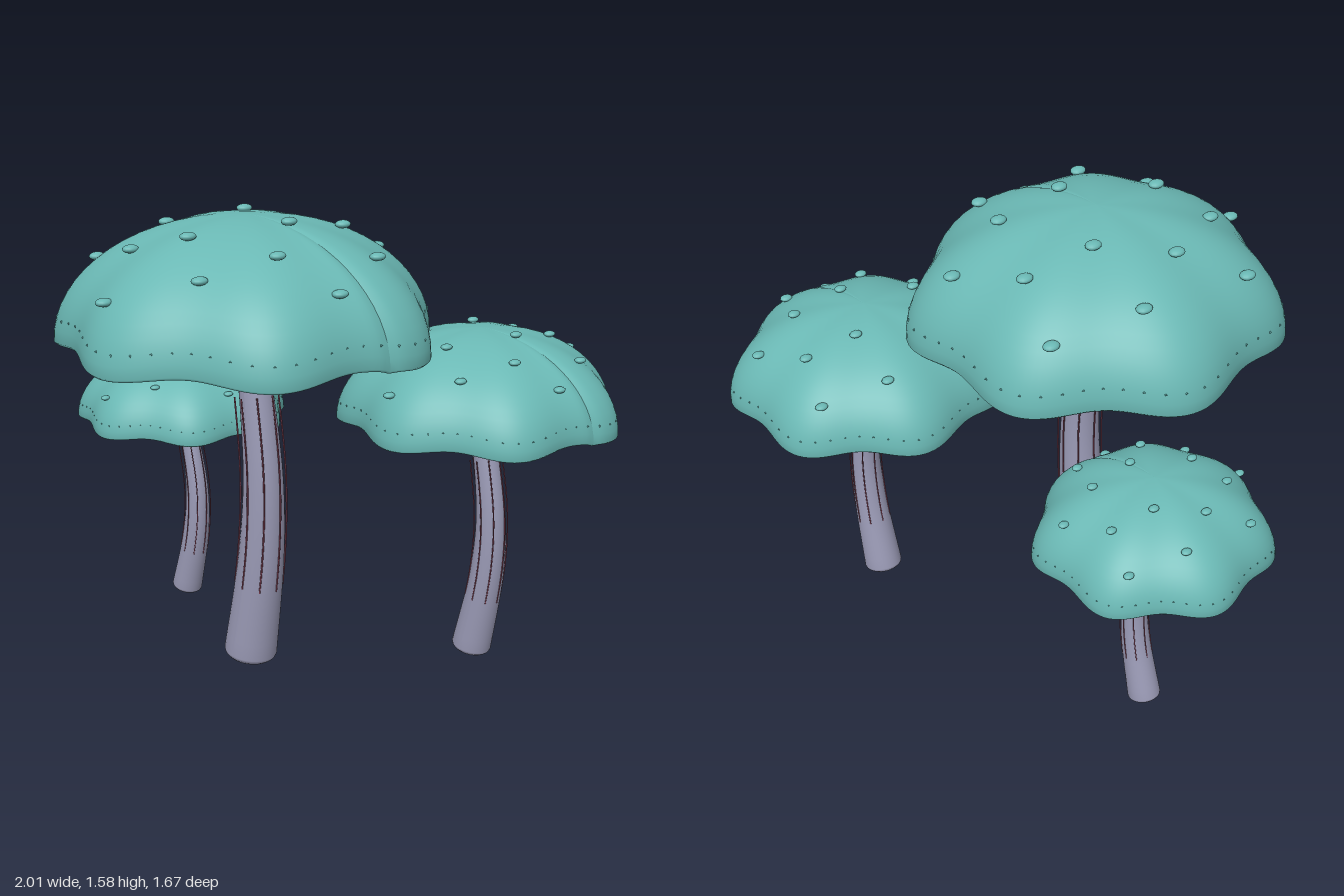
import * as THREE from 'three';

const mat = (name, color) => Object.assign(new THREE.MeshStandardMaterial({ color }), { name });

const CAP_R = 0.615, RIM_Y = 1.16, CAP_H = 0.41;
const INNER_R = 0.588, INNER_H = 0.31;
const V = (x, y, z) => new THREE.Vector3(x, y, z);
const P = (x, y) => new THREE.Vector2(x, y);

// Seven soft lobes around the cap: +1 on a bulge, -1 in a valley
const lobe = (x, z) => -Math.sin(7 * Math.atan2(z, x));

// Moves a point of a round cap onto the lobed, wavy cap with its one narrow fold on +x
function wave(p) {
  const r = Math.hypot(p.x, p.z), l = r > 1e-5 ? lobe(p.x, p.z) : 0;
  const fold = Math.exp(-Math.pow(Math.atan2(p.z, p.x) / 0.035, 2));
  const k = 1 + 0.046 * l - 0.016 * fold;
  return p.set(p.x * k, p.y - 0.012 * l * Math.pow(r / CAP_R, 4) - 0.008 * fold * r / CAP_R, p.z * k);
}

function mapVertices(geo, rule) {
  const pos = geo.attributes.position, p = V(0, 0, 0);
  for (let i = 0; i < pos.count; i++) {
    rule(p.fromBufferAttribute(pos, i));
    pos.setXYZ(i, p.x, p.y, p.z);
  }
  geo.computeVertexNormals();
  return geo;
}

// Domed shell: hollow underside, thin lip, outer dome
function capGeometry() {
  const pts = [], n = 16;
  for (let i = 0; i <= n; i++) {
    const a = (i / n) * Math.PI / 2;
    pts.push(P(INNER_R * Math.sin(a), RIM_Y + 0.003 + INNER_H * Math.cos(a)));
  }
  pts.push(P(0.594, 1.153), P(0.607, 1.152));
  for (let i = n; i >= 0; i--) {
    const a = (i / n) * Math.PI / 2;
    pts.push(P(CAP_R * Math.sin(a), RIM_Y + CAP_H * Math.cos(a)));
  }
  return mapVertices(new THREE.LatheGeometry(pts, 168).rotateY(Math.PI / 2), wave);
}

// Centre line of a stem that bows sideways by b
const spineCurve = b => new THREE.CatmullRomCurve3([
  V(0, 0.01, 0), V(0.85 * b, 0.41, 0), V(b, 0.67, 0), V(0.7 * b, 0.9, 0), V(0.005, 1.18, 0),
]);

// Point beside the spine: a is across the bend, b is along z
function besideSpine(spine, t, a, b) {
  const c = spine.getPointAt(t), d = spine.getTangentAt(t);
  return V(c.x + a * d.y, c.y - a * d.x, b);
}

// Tapering stem with a rounded foot; the profile height is the position along the spine
function stemGeometry(spine) {
  const pts = [];
  for (let i = 0; i <= 5; i++) {
    const a = (i / 5) * Math.PI / 2;
    pts.push(P(0.092 * Math.pow(Math.sin(a), 0.7), 0.028 * (1 - Math.cos(a))));
  }
  for (let i = 1; i <= 20; i++) pts.push(P(0.092 - 0.042 * i / 20, 0.028 + 0.972 * i / 20));
  pts.push(P(0, 1));
  return mapVertices(new THREE.LatheGeometry(pts, 32),
    p => p.copy(besideSpine(spine, Math.min(p.y, 1), p.x, p.z)));
}

// Thin fibre that leaves the stem surface as the stem narrows
function fibreGeometry(spine, angle) {
  const pts = [];
  for (let i = 0; i <= 6; i++) {
    const r = 0.082 - 0.009 * i / 6;
    pts.push(besideSpine(spine, 0.25 + 0.57 * i / 6, r * Math.cos(angle), r * Math.sin(angle)));
  }
  return new THREE.TubeGeometry(new THREE.CatmullRomCurve3(pts), 12, 0.003, 5);
}

// Radial rib under the cap whose tip just pierces the dome near the rim
function gillGeometry(angle) {
  const pts = [], c = Math.cos(angle), s = Math.sin(angle);
  const add = (r, y) => pts.push(wave(V(r * c, y, r * s)));
  for (let i = 0; i <= 6; i++) {
    const a = 0.18 + 1.08 * i / 6;
    add(INNER_R * Math.sin(a), RIM_Y + INNER_H * Math.cos(a));
  }
  add(0.607, 1.232);
  return new THREE.TubeGeometry(new THREE.CatmullRomCurve3(pts), 12, 0.004, 5);
}

// Spot positions (x, z) from the cap centre
const SPOTS = [
  [-0.31, -0.455], [-0.1, -0.385], [0.15, -0.48], [0.19, -0.255],
  [-0.425, -0.18], [-0.165, -0.16], [0.42, -0.155], [0.18, -0.005],
  [-0.32, 0.055], [0.485, 0.1], [0.32, 0.2], [-0.445, 0.255],
  [0.025, 0.29], [-0.18, 0.345], [0.19, 0.405], [-0.07, 0.56],
];

export function createModel() {
  const capMat = mat('teal cap', 0x6ab8b4);
  const stemMat = mat('grey violet stem', 0x9999b4);
  const fibreMat = mat('dusky red fibre', 0x8c4a5e);
  const gillMat = mat('shaded teal gill', 0x56a09c);

  const capGeo = capGeometry();
  const spotGeo = new THREE.SphereGeometry(0.026, 16, 10).scale(0.92, 0.52, 1.12);
  const gills = Array.from({ length: 60 }, (_, i) => gillGeometry((i + 0.5) * Math.PI / 30));

  function mushroom(name, x, z, size) {
    const g = new THREE.Group();
    g.name = name;
    const add = (part, geo, material, parent = g) => {
      const m = new THREE.Mesh(geo, material);
      m.name = part;
      parent.add(m);
      return m;
    };
    const sub = part => {
      const s = new THREE.Group();
      s.name = part;
      g.add(s);
      return s;
    };
    // Every stem bows by the same distance, whatever its size
    const spine = spineCurve(0.068 / size);
    add('cap', capGeo, capMat);
    add('stem', stemGeometry(spine), stemMat);
    const fibreGroup = sub('stemFibres'), gillGroup = sub('gills'), spotGroup = sub('spots');
    for (let i = 0; i < 8; i++) add('fibre', fibreGeometry(spine, i * Math.PI / 4), fibreMat, fibreGroup);
    gills.forEach(f => add('gill', f, gillMat, gillGroup));

    // Spots rest flat on the dome
    for (const [sx, sz] of SPOTS) {
      const u = Math.hypot(sx, sz) / (CAP_R * (1 + 0.046 * lobe(sx, sz)));
      const y = RIM_Y + CAP_H * Math.sqrt(Math.max(0, 1 - u * u)) + 0.013;
      add('spot', spotGeo, capMat, spotGroup).position.set(sx, y, sz);
    }
    g.position.set(x, 0, z);
    g.scale.setScalar(size);
    return g;
  }

  const model = new THREE.Group();
  model.name = 'mushroomCluster';
  model.add(
    mushroom('tallMushroom', 0, 0.19, 1),
    mushroom('middleMushroom', 0.53, -0.385, 0.75),
    mushroom('smallMushroom', -0.615, -0.1, 0.615),
  );
  return model;
}
